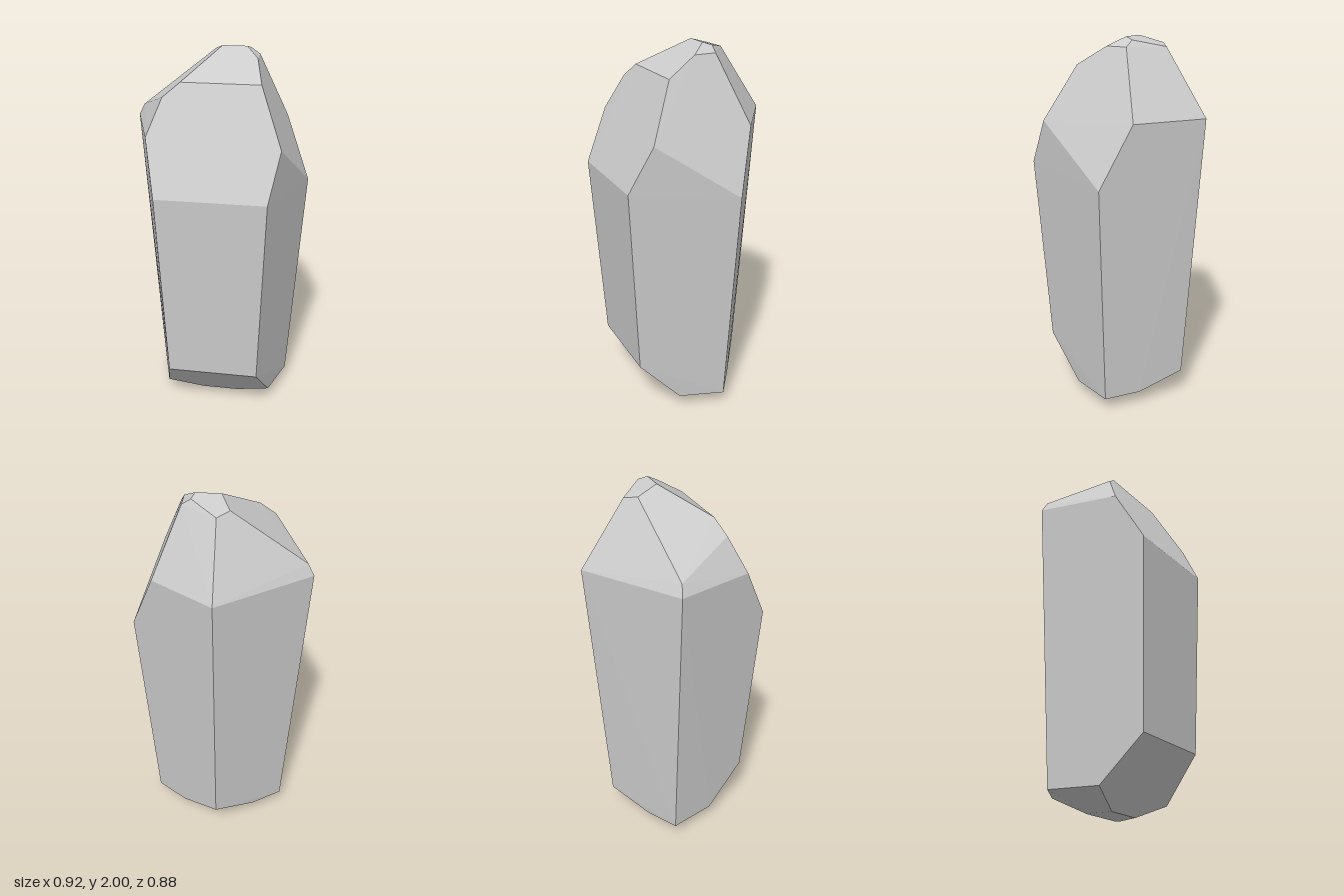
import * as THREE from 'three';
import { ConvexGeometry } from 'three/addons/geometries/ConvexGeometry.js';

// Corner rings of the cut stone, from the base up: [x, y, z]
const base = [[0.11, 0, 0.1], [0.14, 0, -0.02], [0.12, 0, -0.035], [-0.11, 0, -0.035], [-0.12, 0, -0.02], [-0.09, 0, 0.1]];
const lowerBevel = [
  [0.3, 0.08, 0.17], [0.38, 0.08, -0.065], [0.215, 0.08, -0.185],
  [-0.2, 0.08, -0.185], [-0.36, 0.08, -0.08], [-0.285, 0.08, 0.17],
  [0.01, 0.16, -0.335], [0.25, 0.31, 0.385], [-0.23, 0.31, 0.385],
];
// Widest corners of the five-sided shaft
const shoulder = [
  [0.29, 1.34, 0.44], [0.46, 1.29, -0.095], [0.33, 1.61, -0.212],
  [0.01, 1.61, -0.443], [-0.462, 1.61, -0.1], [-0.33, 1.61, 0.305], [-0.27, 1.34, 0.44],
];
// Sloping facets up to the small tilted tip
const crown = [
  [0.34, 1.58, 0.322], [0.225, 1.86, 0.185], [-0.175, 1.86, 0.185],
  [-0.26, 1.79, 0.217], [-0.43, 1.67, -0.09],
  [0.187, 1.955, 0.03], [0.187, 1.955, -0.085],
];
const tip = [[0, 2, -0.045], [0.125, 2, -0.045], [0.14, 1.986, -0.09], [0.01, 1.95, -0.212], [-0.05, 1.965, -0.16]];

export function createModel() {
  const group = new THREE.Group();
  group.name = 'crystal';

  const corners = [base, lowerBevel, shoulder, crown, tip].flat().map((p) => new THREE.Vector3(...p));
  const stone = new THREE.Mesh(
    new ConvexGeometry(corners),
    new THREE.MeshStandardMaterial({ color: 0xcccccc, flatShading: true }),
  );
  stone.name = 'facetedStone';
  group.add(stone);
  return group;
}
